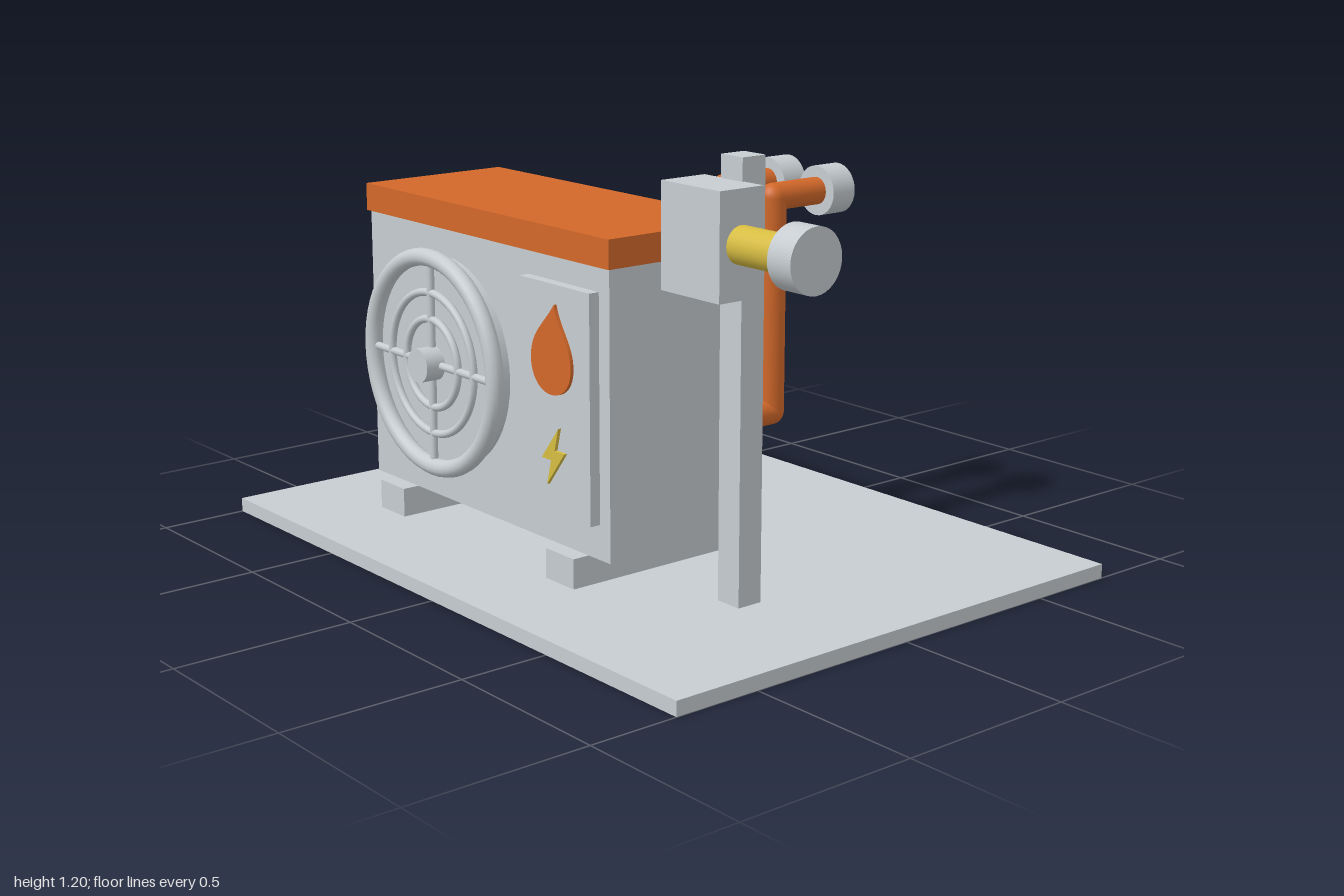
import * as THREE from 'three';

const mat = (name, color) => {
  const m = new THREE.MeshStandardMaterial({ color });
  m.name = name;
  return m;
};

export function createModel() {
  const grey = mat('pale grey metal', 0xc6ccd0);
  const orange = mat('burnt orange', 0xd2682a);
  const yellow = mat('gas yellow', 0xd6bc42);
  const root = new THREE.Group();
  root.name = 'heatPumpUnit';

  const add = (name, geo, material, parent = root) => {
    const mesh = new THREE.Mesh(geo, material);
    mesh.name = name;
    parent.add(mesh);
    return mesh;
  };
  // box from its lower and upper limits on each axis
  const box = (name, material, [x0, x1], [y0, y1], [z0, z1], parent) => {
    const mesh = add(name, new THREE.BoxGeometry(x1 - x0, y1 - y0, z1 - z0), material, parent);
    mesh.position.set((x0 + x1) / 2, (y0 + y1) / 2, (z0 + z1) / 2);
    return mesh;
  };
  // cylinder between two points
  const rod = (name, material, a, b, r, parent, sides = 32) => {
    const from = new THREE.Vector3(...a), to = new THREE.Vector3(...b);
    const dir = to.clone().sub(from);
    const mesh = add(name, new THREE.CylinderGeometry(r, r, dir.length(), sides), material, parent);
    mesh.position.copy(from).add(to).multiplyScalar(0.5);
    mesh.quaternion.setFromUnitVectors(new THREE.Vector3(0, 1, 0), dir.normalize());
    return mesh;
  };

  // slab, feet, cabinet and lid
  box('baseSlab', grey, [-1, 1], [0, 0.04], [-0.75, 0.75]);
  for (const x of [-0.605, 0.196]) box('foot', grey, [x - 0.06, x + 0.06], [0.04, 0.123], [-0.07, 0.476]);
  box('cabinet', grey, [-0.755, 0.348], [0.123, 0.903], [-0.02, 0.426]);
  box('lid', orange, [-0.762, 0.358], [0.902, 0.98], [-0.03, 0.436]);

  // fan guard: backing disc, rings, spokes and hub
  const fan = new THREE.Group();
  fan.name = 'fanGuard';
  fan.position.set(-0.382, 0.527, 0.477);
  root.add(fan);
  rod('fanDisc', grey, [0, 0, -0.052], [0, 0, -0.025], 0.298, fan, 48);
  for (const [r, tube] of [[0.298, 0.025], [0.2, 0.011], [0.125, 0.011]]) {
    add('guardRing', new THREE.TorusGeometry(r, tube, 14, 56), grey, fan);
  }
  rod('spoke', grey, [-0.298, 0, 0], [0.298, 0, 0], 0.011, fan, 12);
  rod('spoke', grey, [0, -0.298, 0], [0, 0.298, 0], 0.011, fan, 12);
  rod('fanHub', grey, [0, 0, -0.01], [0, 0, 0.049], 0.048, fan);

  // front panel with flame drop and bolt
  box('frontPanel', grey, [0.008, 0.305], [0.219, 0.836], [0.42, 0.457]);
  const drop = new THREE.Shape();
  drop.moveTo(0.168, 0.785);
  drop.bezierCurveTo(0.185, 0.72, 0.238, 0.69, 0.238, 0.625);
  drop.bezierCurveTo(0.238, 0.575, 0.2, 0.543, 0.152, 0.543);
  drop.bezierCurveTo(0.104, 0.543, 0.067, 0.58, 0.067, 0.63);
  drop.bezierCurveTo(0.067, 0.7, 0.128, 0.73, 0.168, 0.785);
  const bolt = new THREE.Shape([
    [0.182, 0.457], [0.11, 0.366], [0.15, 0.366], [0.132, 0.297], [0.208, 0.394], [0.166, 0.394],
  ].map(([x, y]) => new THREE.Vector2(x, y)));
  const plate = { depth: 0.0095, bevelEnabled: false, curveSegments: 14 };
  add('dropEmblem', new THREE.ExtrudeGeometry(drop, plate), orange).position.z = 0.457;
  add('boltEmblem', new THREE.ExtrudeGeometry(bolt, plate), yellow).position.z = 0.457;

  // two rear pipes with round elbows and end caps
  for (const x of [0.048, 0.246]) {
    const pipe = new THREE.Group();
    pipe.name = 'rearPipe';
    root.add(pipe);
    const path = [[x, 0.402, 0], [x, 0.402, -0.22], [x, 1.002, -0.22], [x, 1.002, -0.39]];
    for (let i = 0; i < 3; i++) rod('pipeRun', orange, path[i], path[i + 1], 0.038, pipe, 24);
    for (const p of [path[1], path[2]]) {
      add('pipeElbow', new THREE.SphereGeometry(0.038, 24, 16), orange, pipe).position.set(...p);
    }
    rod('pipeCap', grey, [x, 1.002, -0.382], [x, 1.002, -0.462], 0.069, pipe);
  }

  // post with meter box and side outlet
  box('post', grey, [0.556, 0.636], [0.04, 1.2], [0.163, 0.238]);
  box('meterBox', grey, [0.487, 0.706], [0.864, 1.14], [0.232, 0.372]);
  rod('outletPipe', yellow, [0.7, 1.002, 0.302], [0.895, 1.002, 0.302], 0.049);
  rod('outletCap', grey, [0.888, 1.002, 0.302], [0.968, 1.002, 0.302], 0.083);

  return root;
}
